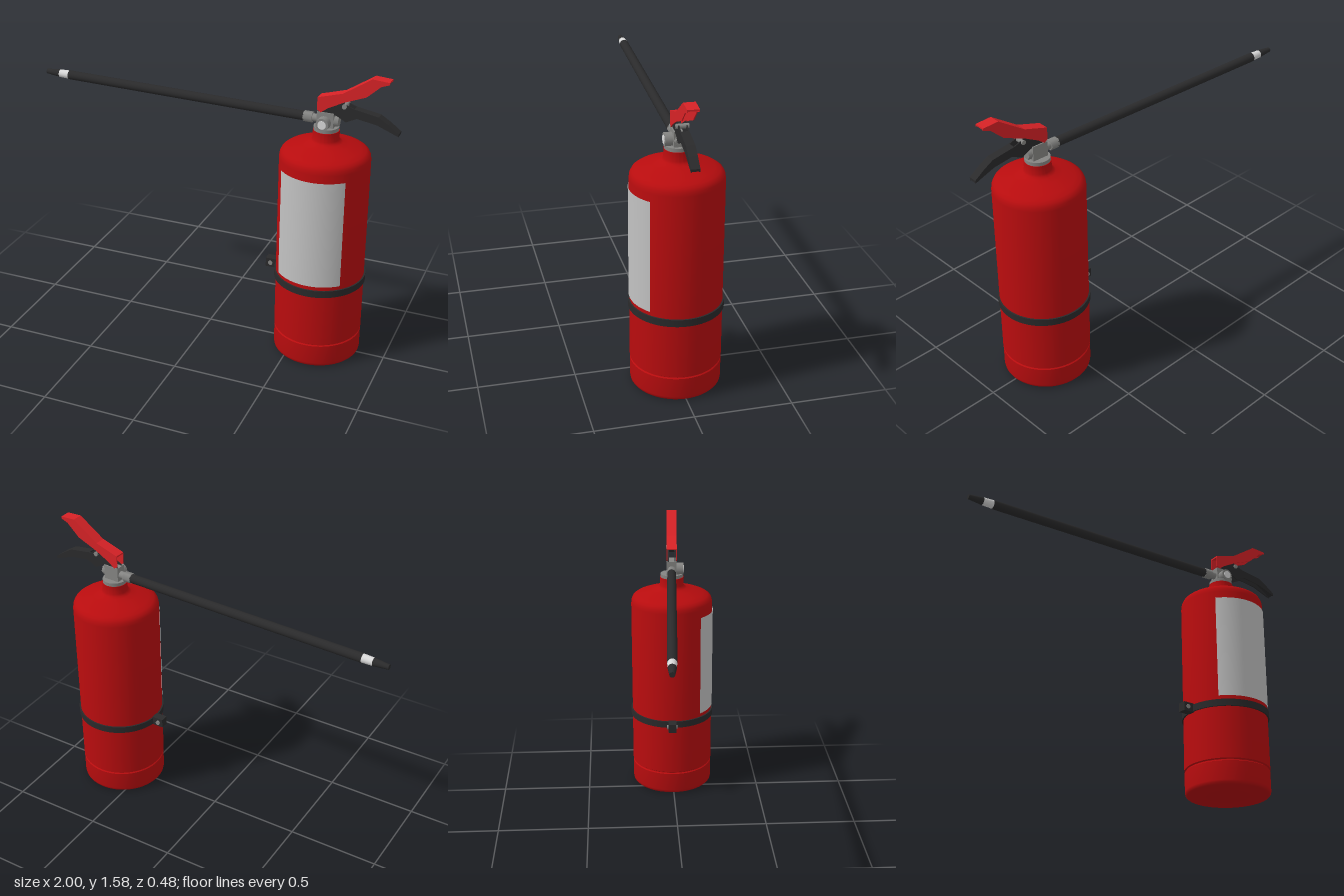
import * as THREE from 'three';
import { toCreasedNormals } from 'three/addons/utils/BufferGeometryUtils.js';

const CX = 0.624; // cylinder axis

function material(name, color) {
  const m = new THREE.MeshStandardMaterial({ color });
  m.name = name;
  return m;
}

export function createModel() {
  const red = material('cylinder red', 0xb80c0e);
  const leverRed = material('lever red', 0xd62226);
  const black = material('rubber black', 0x2a2a2b);
  const metal = material('valve grey', 0x858583);
  const silver = material('silver', 0xd8d8d8);
  const paper = material('label grey', 0xc2c2c2);
  paper.side = THREE.DoubleSide;

  const model = new THREE.Group();
  model.name = 'fireExtinguisher';
  const body = new THREE.Group();
  body.name = 'body';
  body.position.x = CX;
  model.add(body);
  // The valve, levers and hose are turned slightly about the cylinder axis
  const head = new THREE.Group();
  head.name = 'head';
  head.position.x = CX;
  head.rotation.y = -0.047;
  model.add(head);

  const add = (parent, name, geometry, mat, x = 0, y = 0, z = 0) => {
    const mesh = new THREE.Mesh(geometry, mat);
    mesh.name = name;
    mesh.position.set(x, y, z);
    parent.add(mesh);
    return mesh;
  };
  const lathe = (points, segments = 64, crease = 0.6) => toCreasedNormals(
    new THREE.LatheGeometry(points.map(([r, y]) => new THREE.Vector2(r, y)), segments), crease);
  // Rod along x: r1 at its -x end, r2 at its +x end
  const rodX = (x1, x2, r1, r2, sides = 24) => new THREE.CylinderGeometry(r1, r2, x2 - x1, sides)
    .rotateZ(Math.PI / 2).translate((x1 + x2) / 2, 0, 0);
  const rodZ = (r, length, sides = 24) =>
    new THREE.CylinderGeometry(r, r, length, sides).rotateX(Math.PI / 2);
  // Outline in model x/y, extruded and centred on z
  const plate = (points, depth) => new THREE.ExtrudeGeometry(
    new THREE.Shape(points.map(([x, y]) => new THREE.Vector2(x - CX, y))),
    { depth, bevelEnabled: false }).translate(0, 0, -depth / 2);
  // Sheet that follows an edge and hangs down by its thickness
  const sheet = (edge, thickness, depth) => plate(
    [...edge, ...edge.map(([x, y]) => [x, y - thickness]).reverse()], depth);

  // Cylinder with foot, groove, domed shoulder and neck
  add(body, 'cylinder', lathe([
    [0, 0], [0.212, 0], [0.222, 0.003], [0.229, 0.011], [0.231, 0.022],
    [0.231, 0.127], [0.225, 0.132], [0.225, 0.136], [0.232, 0.141],
    [0.232, 1.115], [0.229, 1.136], [0.221, 1.152], [0.206, 1.163], [0.18, 1.174],
    [0.12, 1.193], [0.086, 1.204], [0.074, 1.211], [0.068, 1.222], [0.067, 1.267], [0, 1.267],
  ]), red);

  // Curved label
  const a1 = -0.855, a2 = 0.75;
  add(body, 'label', new THREE.CylinderGeometry(0.236, 0.236, 0.585, 32, 1, true, a1, a2 - a1),
    paper, 0, 0.7825);

  // Strap and its clasp
  add(body, 'strap', lathe([[0.23, 0.43], [0.24, 0.43], [0.24, 0.468], [0.23, 0.468]]), black);
  add(body, 'strapClasp', new THREE.BoxGeometry(0.065, 0.05, 0.045), black, -0.266, 0.45, -0.01);
  add(body, 'claspBolt', rodZ(0.012, 0.06, 12), metal, -0.272, 0.45, -0.012);

  // Valve
  add(head, 'valveCollar', new THREE.CylinderGeometry(0.064, 0.064, 0.022, 32), metal, 0, 1.275);
  add(head, 'valveBlock', new THREE.BoxGeometry(0.088, 0.085, 0.056), metal, 0, 1.322);
  add(head, 'sidePlug', rodX(0.04, 0.066, 0.028, 0.026, 6), metal, 0, 1.32);
  add(head, 'gauge', rodZ(0.034, 0.04), metal, -0.002, 1.312, 0.046);
  add(head, 'gaugeFace', rodZ(0.022, 0.006), silver, -0.002, 1.312, 0.067);

  // Hose with couplings and nozzle
  const hose = new THREE.Group();
  hose.name = 'hose';
  hose.position.y = 1.319;
  head.add(hose);
  add(hose, 'hoseSocket', rodX(-0.085, -0.03, 0.02, 0.02), metal);
  add(hose, 'hoseNut', rodX(-0.12, -0.072, 0.028, 0.028, 6), metal);
  add(hose, 'hoseTube', rodX(-1.485, -0.115, 0.0245, 0.0245), black);
  add(hose, 'nozzleRing', rodX(-1.543, -1.485, 0.021, 0.023), silver);
  add(hose, 'nozzle', rodX(-1.625, -1.543, 0.013, 0.021), black);

  // Carrying handle: two cheeks with a sheet over the grip
  const handleTop = [[0.72, 1.422], [0.77, 1.405], [0.895, 1.385], [0.945, 1.355], [1.0, 1.315]];
  const handleSide = [[0.58, 1.363], [0.61, 1.352], [0.676, 1.358], [0.73, 1.33], [0.785, 1.358],
    [0.89, 1.342], [1.0, 1.3], ...handleTop.slice().reverse(), [0.71, 1.433], [0.65, 1.4]];
  const lever = [[0.58, 1.375], [0.6, 1.363], [0.635, 1.39], [0.715, 1.433], [0.83, 1.48],
    [0.9, 1.545], [0.94, 1.56], [0.94, 1.572], [0.855, 1.577], [0.71, 1.48], [0.58, 1.44]];
  for (const side of [-1, 1]) {
    add(head, 'handleCheek', plate(handleSide, 0.006), black, 0, 0, side * 0.019);
    add(head, 'leverCheek', plate(lever, 0.005), leverRed, 0, 0, side * 0.0265);
  }
  add(head, 'handleGrip', sheet(handleTop.slice(1).reverse(), 0.012, 0.04), black);

  // Squeeze lever top
  add(head, 'leverTop',
    sheet([[0.94, 1.572], [0.855, 1.577], [0.71, 1.48], [0.58, 1.44]], 0.008, 0.057), leverRed);
  add(head, 'pivotPin', rodZ(0.012, 0.062, 16), metal, 0.72 - CX, 1.412);

  return model;
}
